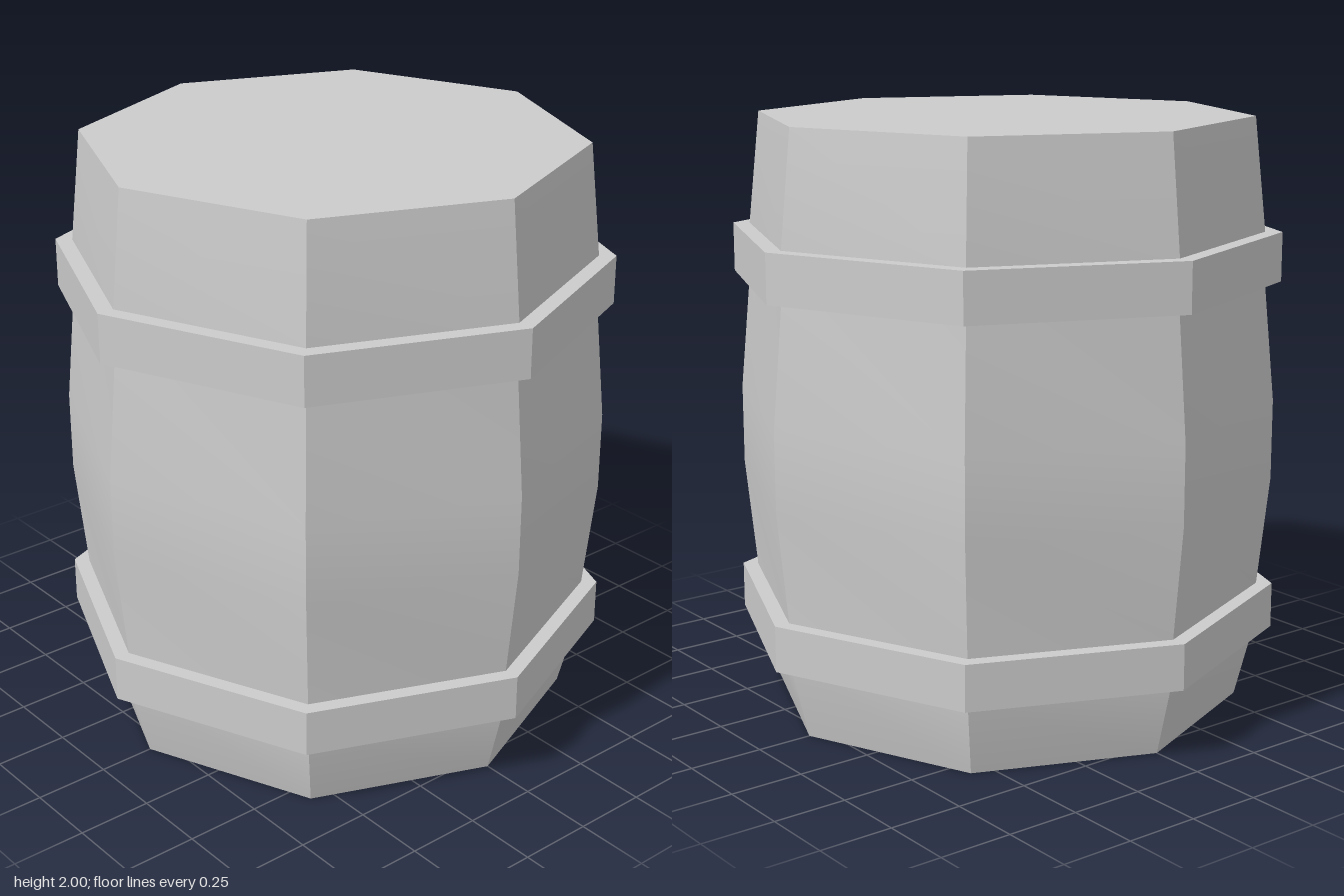
import * as THREE from 'three';
import { toCreasedNormals } from 'three/addons/utils/BufferGeometryUtils.js';

const SIDES = 8;
const material = new THREE.MeshStandardMaterial({ color: 0xcccccc });

// Eight-sided turned part; profile runs bottom to top as [radius, height].
// Staves stay smooth along their height and sharp between each other.
function turned(name, profile) {
  const points = profile.map(([r, y]) => new THREE.Vector2(r, y));
  const geometry = toCreasedNormals(new THREE.LatheGeometry(points, SIDES), 0.4);
  const mesh = new THREE.Mesh(geometry, material);
  mesh.name = name;
  return mesh;
}

// Flat band wrapped around the barrel
function hoop(name, bottom, top) {
  return turned(name, [[0.84, bottom], [0.93, bottom], [0.93, top], [0.84, top]]);
}

export function createModel() {
  const barrel = new THREE.Group();
  barrel.name = 'barrel';

  // Bulging body with closed ends
  barrel.add(turned('body', [
    [0, 0], [0.81, 0], [0.875, 0.26], [0.877, 0.41], [0.915, 0.78],
    [0.915, 1.05], [0.876, 1.46], [0.873, 1.62], [0.832, 2], [0, 2],
  ]));

  // Hoops
  barrel.add(hoop('lowerHoop', 0.25, 0.405));
  barrel.add(hoop('upperHoop', 1.455, 1.62));

  return barrel;
}
